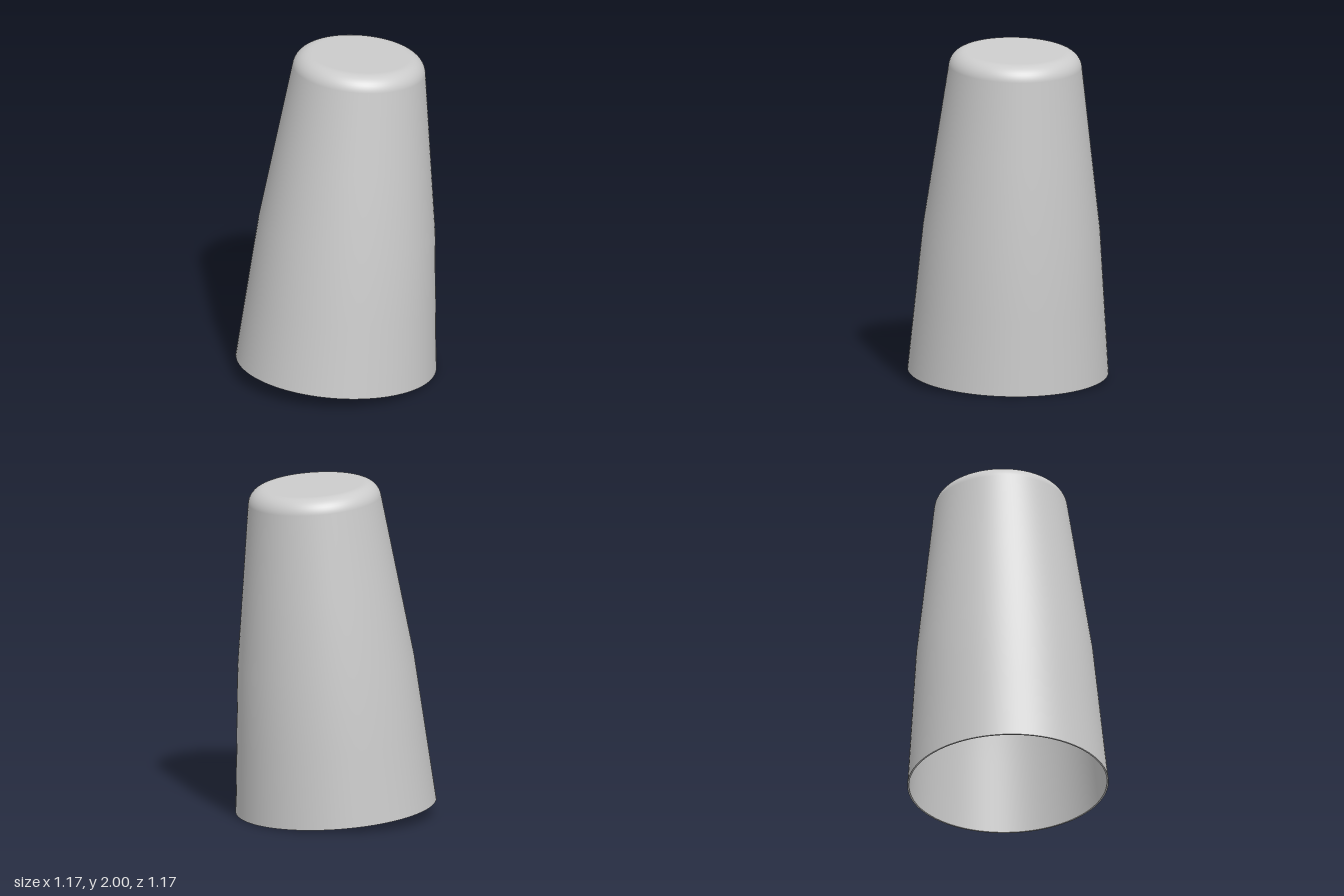
import * as THREE from 'three';

const HEIGHT = 1.93, FILLET = 0.1, WALL = 0.01, SEGMENTS = 96;

// Wall profile from the rim up to the rounded top edge, inset by the wall thickness
function profile(inset) {
  const points = [[0.587, 0], [0.552, 0.435], [0.517, 0.87], [0.453, 1.356]]
    .map(([r, y]) => new THREE.Vector2(r - inset, y));
  const steps = 10, start = 0.134;
  for (let i = 0; i <= steps; i++) {
    const a = start + (Math.PI / 2 - start) * i / steps;
    const radius = FILLET - inset;
    points.push(new THREE.Vector2(0.29 + radius * Math.cos(a), HEIGHT - FILLET + radius * Math.sin(a)));
  }
  points.push(new THREE.Vector2(0.28, HEIGHT - inset), new THREE.Vector2(0, HEIGHT - inset));
  return points;
}

export function createModel() {
  const model = new THREE.Group();
  model.name = 'taperedCup';
  const material = new THREE.MeshStandardMaterial({ color: 0xcccccc });

  // The whole cup leans toward +x
  const cup = new THREE.Group();
  cup.name = 'leaningCup';
  cup.rotation.z = -0.0815;
  cup.position.y = 0.048;
  model.add(cup);

  const addLathe = (name, points) => {
    const mesh = new THREE.Mesh(new THREE.LatheGeometry(points, SEGMENTS), material);
    mesh.name = name;
    cup.add(mesh);
  };

  const outer = profile(0);
  const inner = profile(WALL).reverse();
  addLathe('outerShell', outer);
  addLathe('innerShell', inner);
  // Flat ring joining the two walls at the open end
  addLathe('rim', [inner[inner.length - 1], outer[0]]);
  return model;
}
